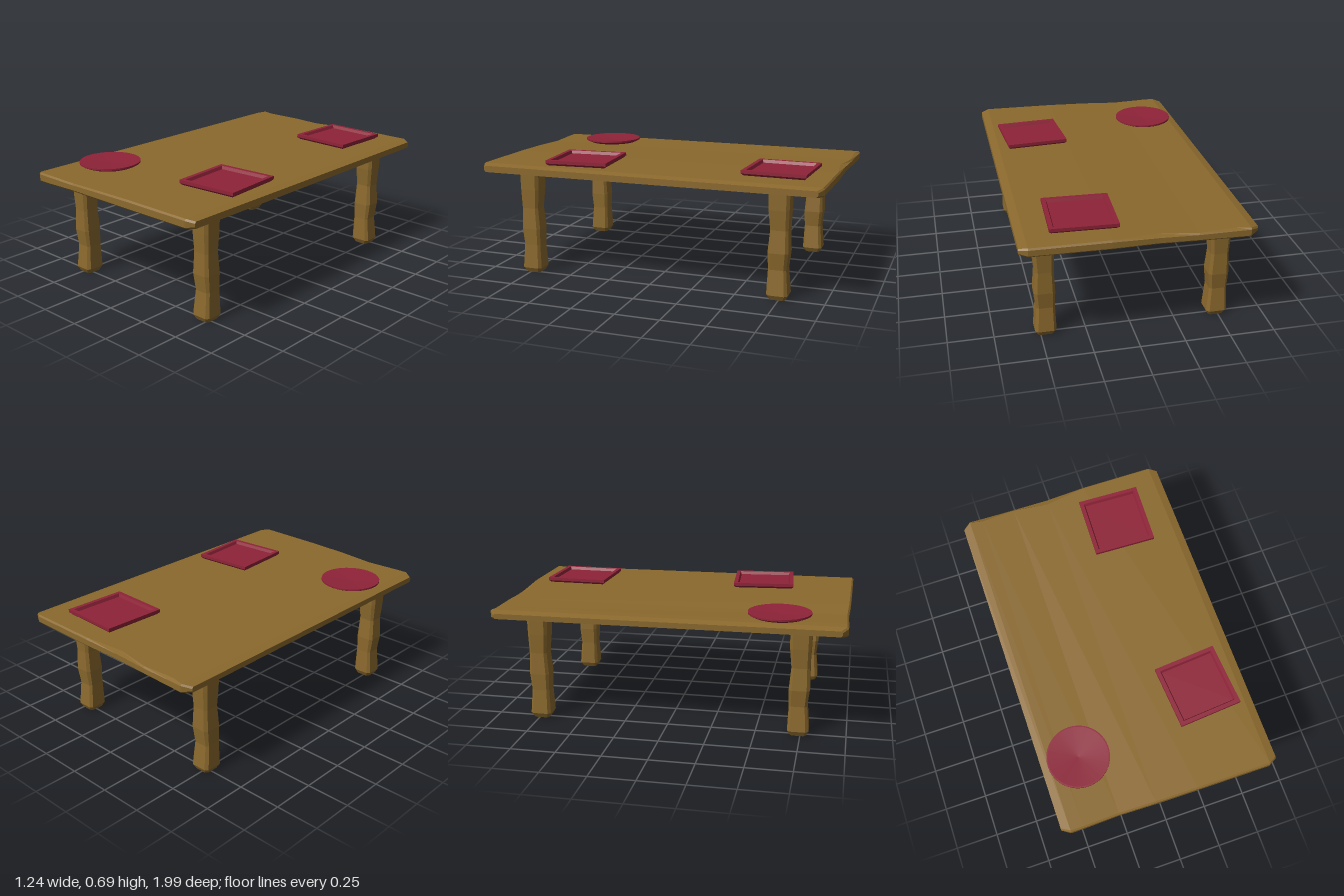
import * as THREE from 'three';

// Joins rings of points (counter-clockwise about the direction of travel) and caps both ends.
function loft(rings) {
  const n = rings[0].length;
  const index = [];
  for (let r = 0; r < rings.length - 1; r++) {
    for (let i = 0; i < n; i++) {
      const a = r * n + i, b = r * n + (i + 1) % n;
      index.push(a, b, b + n, a, b + n, a + n);
    }
  }
  const last = (rings.length - 1) * n;
  for (let i = 1; i < n - 1; i++) {
    index.push(0, i + 1, i, last, last + i, last + i + 1);
  }
  const g = new THREE.BufferGeometry();
  g.setAttribute('position', new THREE.Float32BufferAttribute(rings.flat(2), 3));
  g.setIndex(index);
  const flat = g.toNonIndexed();
  flat.computeVertexNormals();
  return flat;
}

// Square ring with chamfered corners at height y, shifted by dx and dz.
function squareRing(y, half, chamfer = 0, dx = 0, dz = 0) {
  const c = half - chamfer;
  const corners = chamfer
    ? [[half, c], [half, -c], [c, -half], [-c, -half], [-half, -c], [-half, c], [-c, half], [c, half]]
    : [[half, half], [half, -half], [-half, -half], [-half, half]];
  return corners.map(([x, z]) => [x + dx, y, z + dz]);
}

export function createModel() {
  const table = new THREE.Group();
  table.name = 'table';
  const wood = new THREE.MeshStandardMaterial({ color: 0x8b692d });
  wood.name = 'wood';
  const crimson = new THREE.MeshStandardMaterial({ color: 0x8f2338 });
  crimson.name = 'crimson';

  const add = (name, geometry, material, x = 0, y = 0, z = 0, turn = 0) => {
    const mesh = new THREE.Mesh(geometry, material);
    mesh.name = name;
    mesh.position.set(x, y, z);
    mesh.rotation.y = turn;
    table.add(mesh);
  };

  // Hand-hewn board: x, front top, back top, bottom, front z, back z, back top inset
  const stations = [
    [-0.622, 0.634, 0.632, 0.602, 0.955, -0.962, 0.008],
    [-0.575, 0.646, 0.644, 0.592, 0.985, -0.995, 0.008],
    [-0.5, 0.645, 0.643, 0.592, 0.985, -0.993, 0.022],
    [-0.3, 0.641, 0.641, 0.595, 0.98, -0.99, 0.008],
    [-0.09, 0.649, 0.645, 0.598, 0.987, -0.985, 0.032],
    [0.15, 0.654, 0.652, 0.6, 0.99, -0.993, 0.008],
    [0.575, 0.656, 0.653, 0.603, 0.993, -0.99, 0.008],
    [0.62, 0.646, 0.643, 0.609, 0.968, -0.965, 0.008],
  ];
  const bevel = 0.009;
  add('tabletop', loft(stations.map(([x, tf, tb, bottom, zf, zb, inset]) => [
    [x, tb, zb + inset],
    [x, tf, zf - bevel],
    [x, tf - bevel, zf],
    [x, bottom + bevel, zf],
    [x, bottom, zf - bevel],
    [x, bottom, zb + bevel],
    [x, bottom + bevel, zb],
    [x, tb - bevel, zb],
  ])), wood);

  // Carved legs with uneven waists
  const leg = loft([
    squareRing(0, 0.044, 0.012),
    squareRing(0.028, 0.059, 0.016),
    squareRing(0.17, 0.05, 0.013, 0.004, -0.004),
    squareRing(0.265, 0.057, 0.016),
    squareRing(0.39, 0.05, 0.014, 0.002, 0.003),
    squareRing(0.5, 0.057, 0.016),
    squareRing(0.61, 0.059, 0.016),
  ]);
  for (const x of [-0.49, 0.472]) {
    add('frontLeg', leg, wood, x, 0, 0.737);
    add('backLeg', leg, wood, x, 0, -0.741, Math.PI);
  }

  // Square plates with a flat rim and sunken middle
  const squarePlate = loft([
    squareRing(0, 0.168),
    squareRing(0.012, 0.181),
    squareRing(0.03, 0.181),
    squareRing(0.03, 0.158),
    squareRing(0.013, 0.151),
  ]);
  add('backSquarePlate', squarePlate, crimson, 0.265, 0.656, -0.695, -0.035);
  add('frontSquarePlate', squarePlate, crimson, 0.352, 0.656, 0.445, 0.075);

  // Shallow round dish
  const profile = [[0, 0], [0.145, 0], [0.168, 0.01], [0.175, 0.014], [0.175, 0.024], [0.168, 0.024], [0, 0.012]]
    .map(([r, y]) => new THREE.Vector2(r, y));
  const dish = new THREE.LatheGeometry(profile, 48).toNonIndexed();
  dish.computeVertexNormals();
  add('roundPlate', dish, crimson, -0.41, 0.645, 0.61);

  return table;
}
